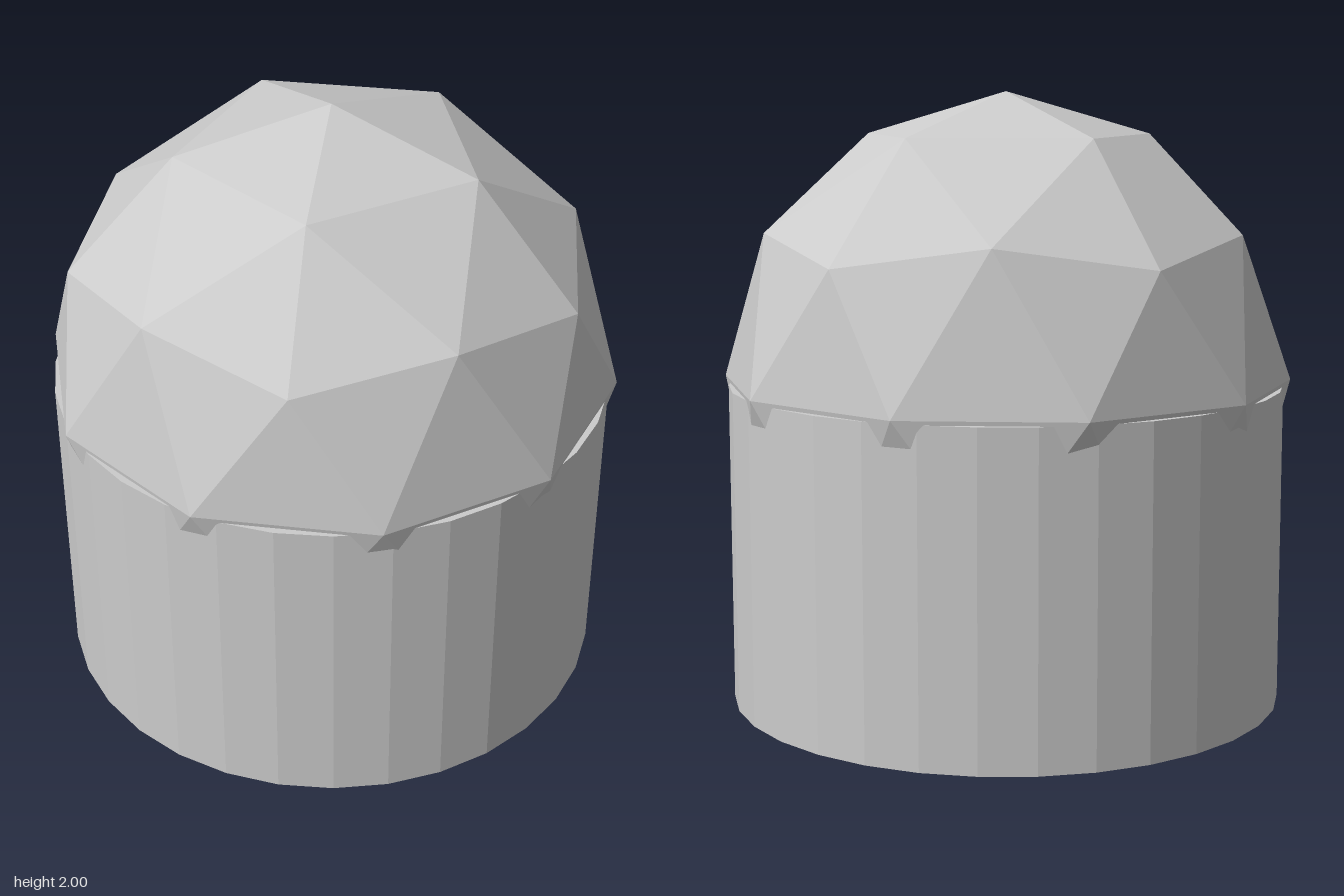
import * as THREE from 'three';

export function createModel() {
  const group = new THREE.Group();
  const material = new THREE.MeshStandardMaterial({ color: 0xcccccc, flatShading: true });

  // Drum: 32-sided closed cylinder
  const drumHeight = 1.05;
  const drum = new THREE.Mesh(new THREE.CylinderGeometry(0.912, 0.912, drumHeight, 32), material);
  drum.name = 'drum';
  drum.position.y = drumHeight / 2;
  group.add(drum);

  // Dome: faceted icosphere, tilted so that one of its 12 main corners points straight up
  const domeRadius = 0.937;
  const domeGeometry = new THREE.IcosahedronGeometry(domeRadius, 1);
  domeGeometry.rotateZ(-Math.atan(2 / (1 + Math.sqrt(5))));
  const dome = new THREE.Mesh(domeGeometry, material);
  dome.name = 'dome';
  dome.position.y = 2 - domeRadius;
  group.add(dome);

  return group;
}
